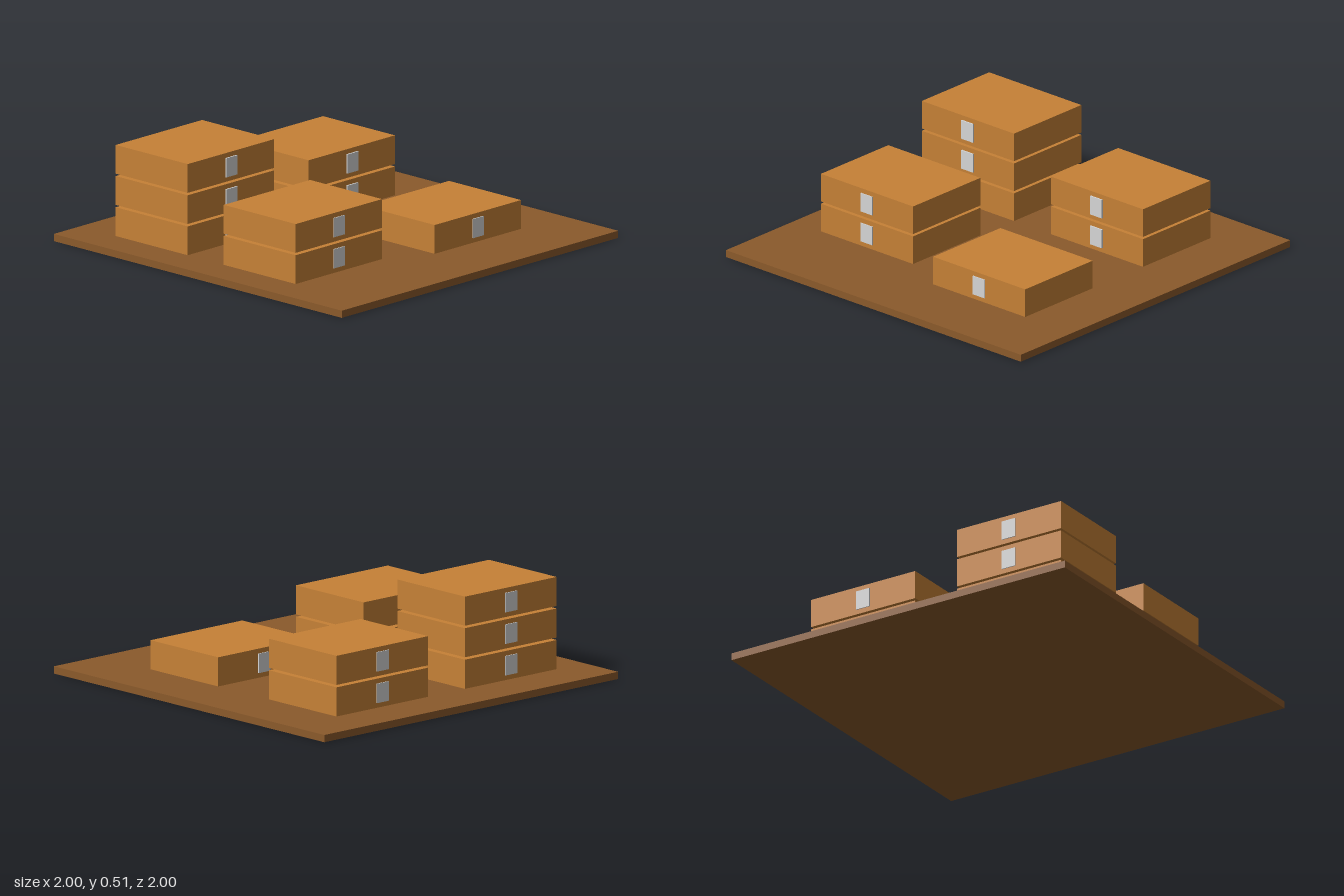
import * as THREE from 'three';

const BASE_H = 0.0375, BOX_W = 0.625, BOX_H = 0.15, BOX_D = 0.5, GAP = 0.0125;

export function createModel() {
  const baseBrown = new THREE.MeshStandardMaterial({ color: 0x8b5a2b });
  baseBrown.name = 'dark wood brown';
  const cardboard = new THREE.MeshStandardMaterial({ color: 0xc68136 });
  cardboard.name = 'cardboard brown';
  const tapeGrey = new THREE.MeshStandardMaterial({ color: 0xd6d6d6 });
  tapeGrey.name = 'tape grey';

  const model = new THREE.Group();
  model.name = 'boxesOnPallet';

  const addBox = (parent, name, size, position, material) => {
    const mesh = new THREE.Mesh(new THREE.BoxGeometry(...size), material);
    mesh.name = name;
    mesh.position.set(...position);
    parent.add(mesh);
  };

  // Flat square base
  addBox(model, 'base', [2, BASE_H, 2], [0, BASE_H / 2, 0], baseBrown);

  // Stacks: centre x, centre z, number of boxes, how far the front tape stands out
  const stacks = [
    ['backRightStack', -0.5, -0.5, 3, 0.008],
    ['backLeftStack', 0.375, -0.5, 2, 0.008],
    ['frontRightStack', -0.5, 0.25, 2, 0.005],
    ['frontLeftStack', 0.375, 0.375, 1, 0.005],
  ];
  for (const [name, x, z, count, frontTape] of stacks) {
    const stack = new THREE.Group();
    stack.name = name;
    stack.position.set(x, BASE_H, z);
    for (let i = 0; i < count; i++) {
      const y = BOX_H / 2 + i * (BOX_H + GAP);
      addBox(stack, 'box', [BOX_W, BOX_H, BOX_D], [0, y, 0], cardboard);
      // Tape on the front and back of each box
      addBox(stack, 'frontTape', [0.08, 0.1, frontTape], [0, y, (BOX_D + frontTape) / 2], tapeGrey);
      addBox(stack, 'backTape', [0.08, 0.1, 0.005], [0, y, -(BOX_D + 0.005) / 2], tapeGrey);
    }
    model.add(stack);
  }
  return model;
}
